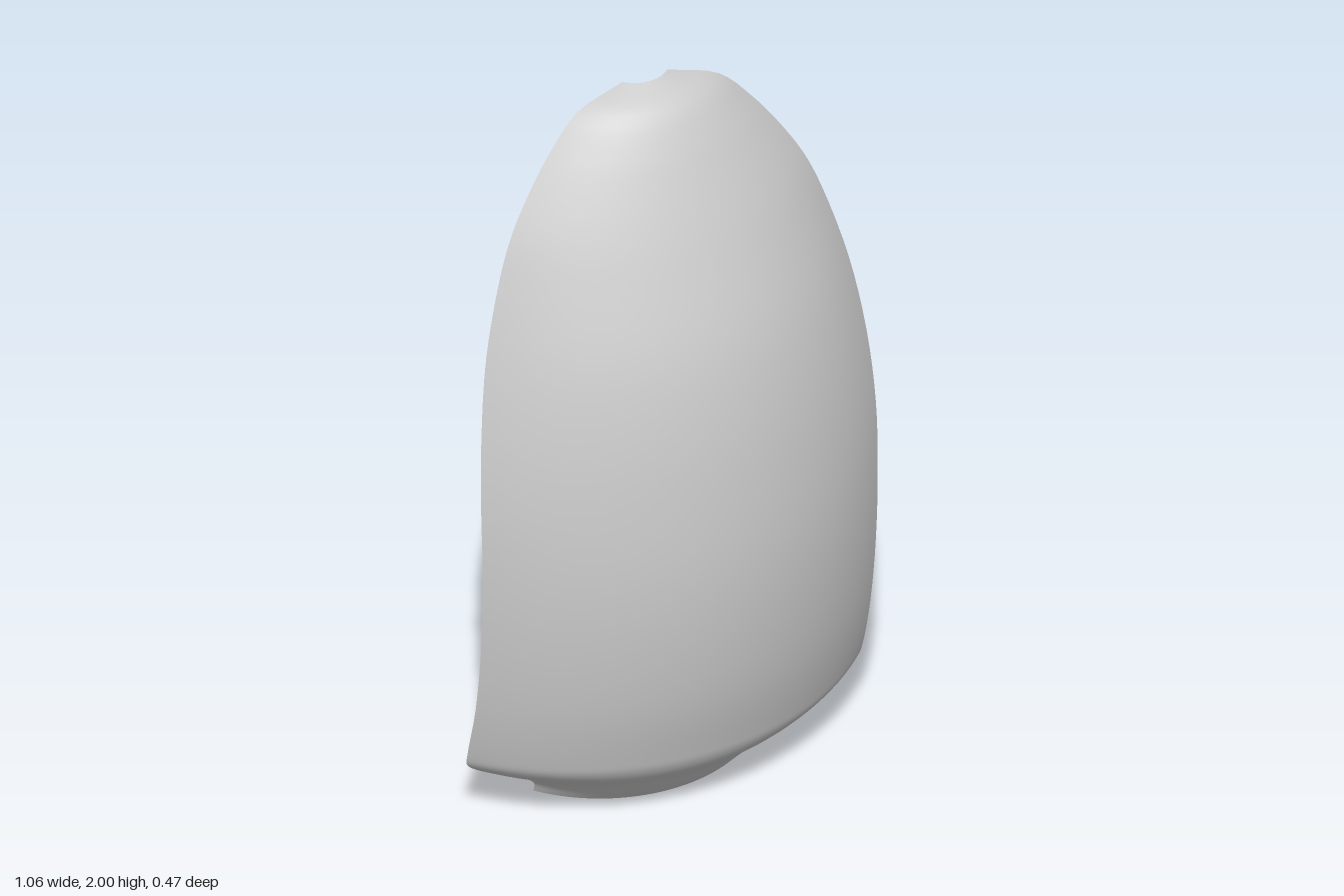
import * as THREE from 'three';
import { toCreasedNormals } from 'three/addons/utils/BufferGeometryUtils.js';

// Levels of the shell: height, half width, z of the middle, z of the side edge
const LEVELS = [
  [0, 0.3, -0.04, -0.18], [0.04, 0.31, 0, -0.16], [0.1, 0.385, 0.05, -0.135],
  [0.16, 0.48, 0.11, -0.105], [0.2, 0.522, 0.135, -0.09], [0.24, 0.528, 0.148, -0.075],
  [0.4, 0.528, 0.19, -0.03], [0.6, 0.528, 0.22, 0], [0.8, 0.528, 0.232, 0.01],
  [1, 0.528, 0.225, 0], [1.2, 0.515, 0.205, -0.025], [1.4, 0.485, 0.165, -0.06],
  [1.6, 0.43, 0.095, -0.095], [1.7, 0.39, 0.055, -0.113], [1.8, 0.33, 0.01, -0.133],
  [1.88, 0.27, -0.03, -0.15], [1.96, 0.19, -0.085, -0.168], [2, 0.06, -0.16, -0.185],
];
const THICKNESS = 0.1;
const ACROSS = 40;
const UP = (LEVELS.length - 1) * 4;

// Surface from rows of points; faces point along (column direction) x (row direction)
function sheet(rows) {
  const n = rows[0].length;
  const index = [];
  for (let j = 0; j < rows.length - 1; j++) {
    for (let i = 0; i < n - 1; i++) {
      const a = j * n + i, b = a + 1, c = a + n, d = c + 1;
      index.push(a, b, d, a, d, c);
    }
  }
  const geometry = new THREE.BufferGeometry().setFromPoints(rows.flat());
  geometry.setIndex(index);
  geometry.computeVertexNormals();
  return geometry;
}

// Each level is a circular arc from side edge to side edge
function outerRows() {
  const middle = new THREE.CatmullRomCurve3(LEVELS.map(([y, , zc]) => new THREE.Vector3(0, y, zc)));
  const edge = new THREE.CatmullRomCurve3(LEVELS.map(([y, w, , ze]) => new THREE.Vector3(w, y, ze)));
  const rows = [];
  for (let j = 0; j <= UP; j++) {
    const m = middle.getPoint(j / UP), e = edge.getPoint(j / UP);
    const drop = m.z - e.z;
    const radius = (e.x * e.x + drop * drop) / (2 * drop);
    const half = Math.atan2(e.x, radius - drop);
    const row = [];
    for (let i = 0; i <= ACROSS; i++) {
      const s = (i / ACROSS) * 2 - 1;
      const a = s * half;
      row.push(new THREE.Vector3(
        radius * Math.sin(a),
        THREE.MathUtils.lerp(m.y, e.y, s * s),
        m.z - radius * (1 - Math.cos(a))));
    }
    rows.push(row);
  }
  return rows;
}

export function createModel() {
  const group = new THREE.Group();
  group.name = 'curvedShell';
  const material = new THREE.MeshStandardMaterial({ color: 0xcccccc, side: THREE.DoubleSide });
  const add = (name, geometry) => {
    const mesh = new THREE.Mesh(geometry, material);
    mesh.name = name;
    group.add(mesh);
  };

  const outer = outerRows();
  const outerGeometry = sheet(outer);
  add('outerFace', outerGeometry);

  // Inner face: offset along the normals, held below the thick top rim
  const normals = outerGeometry.attributes.normal;
  const inner = outer.map((row, j) => row.map((p, i) => {
    const normal = new THREE.Vector3().fromBufferAttribute(normals, j * (ACROSS + 1) + i);
    const q = p.clone().addScaledVector(normal, -THICKNESS);
    if (j === UP) q.set(p.x * 0.9, 1.86, -0.205);
    if (p.y > 1.5) {
      q.y = Math.min(q.y, 1.86);
      q.z = Math.max(q.z, -0.21);
    }
    return q;
  }));
  add('innerFace', sheet(inner.map((row) => [...row].reverse())));

  // Rims joining the two faces
  const rim = (name, rows) => add(name, toCreasedNormals(sheet(rows), 0.5));
  rim('bottomRim', [inner[0], outer[0]]);
  rim('topRim', [outer[UP], inner[UP]]);
  rim('leftRim', outer.map((row, j) => [row[ACROSS], inner[j][ACROSS]]));
  rim('rightRim', outer.map((row, j) => [inner[j][0], row[0]]));
  return group;
}
